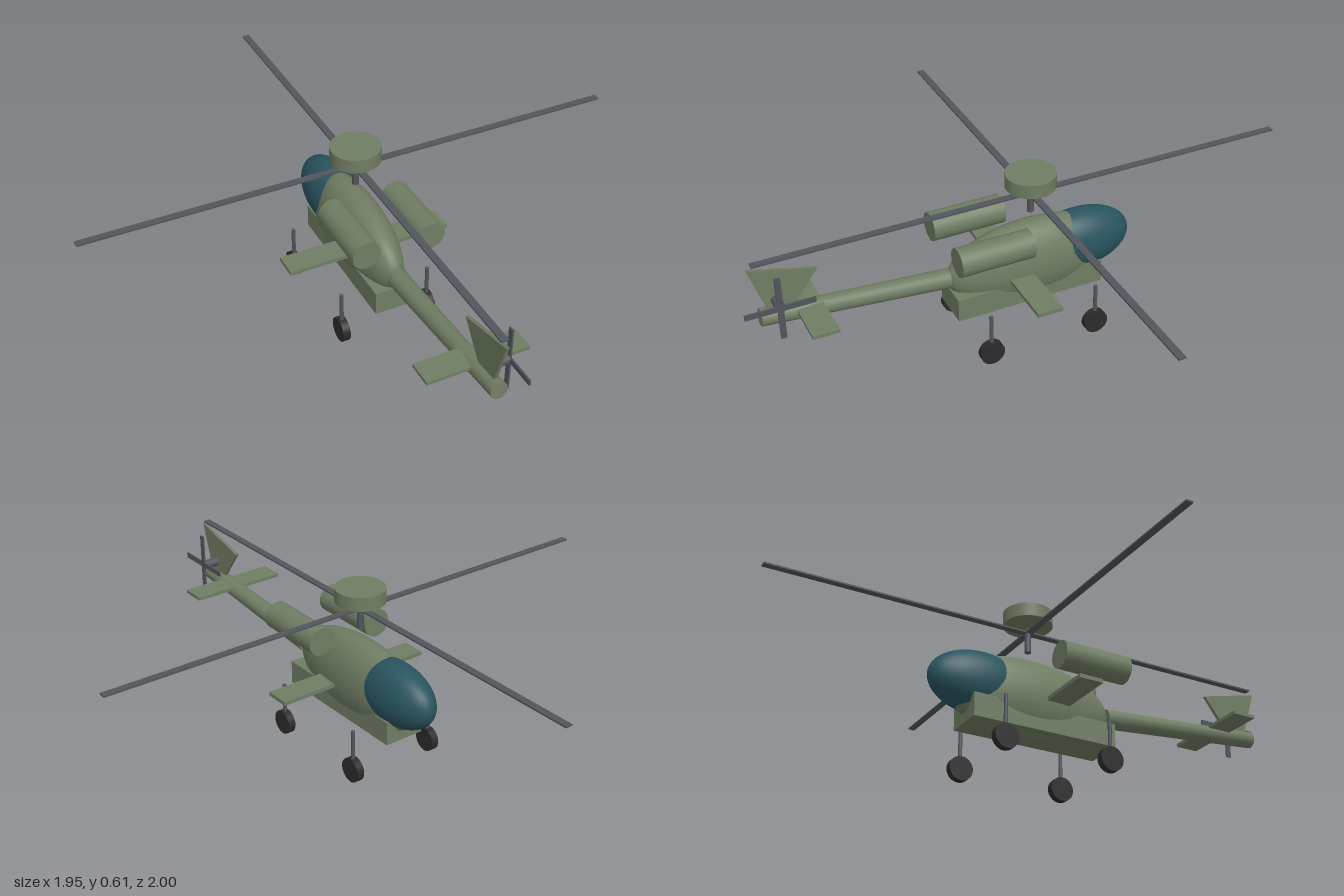
import * as THREE from 'three';

export function createModel() {
  const model = new THREE.Group();
  model.name = 'helicopter';
  const paint = (name, color) => {
    const m = new THREE.MeshStandardMaterial({ color });
    m.name = name;
    return m;
  };
  const green = paint('olive green', 0x6f7d63);
  const grey = paint('rotor grey', 0x51565c);
  const glass = paint('canopy teal', 0x28545f);
  const rubber = paint('tyre black', 0x2b2b2b);

  const add = (name, geometry, material, x, y, z) => {
    const mesh = new THREE.Mesh(geometry, material);
    mesh.name = name;
    mesh.position.set(x, y, z);
    model.add(mesh);
    return mesh;
  };
  const box = (w, h, d) => new THREE.BoxGeometry(w, h, d);
  const rod = (r, h, sides = 32) => new THREE.CylinderGeometry(r, r, h, sides);
  const ellipsoid = (rx, ry, rz) => new THREE.SphereGeometry(1, 40, 28).scale(rx, ry, rz);

  // Fuselage: the nose points towards -z
  add('fuselage', ellipsoid(0.093, 0.152, 0.32), green, 0, 0.272, -0.03);
  add('canopy', ellipsoid(0.088, 0.115, 0.19), glass, 0, 0.295, -0.217);
  add('bellyBox', box(0.15, 0.086, 0.55), green, 0, 0.182, 0.005);
  add('wing', box(0.6, 0.014, 0.09), green, 0, 0.254, 0.045);

  // Tail boom, tapering and rising towards the back
  const boomStart = new THREE.Vector3(0, 0.275, 0.285);
  const boomEnd = new THREE.Vector3(0, 0.33, 0.937);
  const boomAxis = boomEnd.clone().sub(boomStart);
  const boom = add('tailBoom', new THREE.CylinderGeometry(0.03, 0.035, boomAxis.length(), 32), green, 0, 0, 0);
  boom.position.copy(boomStart).lerp(boomEnd, 0.5);
  boom.quaternion.setFromUnitVectors(new THREE.Vector3(0, 1, 0), boomAxis.normalize());

  // Tail surfaces
  add('stabilizer', box(0.36, 0.012, 0.09), green, 0, 0.332, 0.775);
  const finShape = new THREE.Shape([
    [0.963, 0.522], [0.735, 0.465], [0.825, 0.345], [0.908, 0.345],
  ].map(([z, y]) => new THREE.Vector2(-z, y)));
  const finGeometry = new THREE.ExtrudeGeometry(finShape, { depth: 0.012, bevelEnabled: false });
  finGeometry.translate(0, 0, -0.006).rotateY(Math.PI / 2);
  add('tailFin', finGeometry, green, 0, 0, 0);

  // Tail rotor on the left side
  add('tailRotorHub', rod(0.017, 0.06).rotateZ(Math.PI / 2), grey, 0.031, 0.388, 0.88);
  add('tailRotorBladeUpright', box(0.006, 0.235, 0.02), grey, 0.062, 0.39, 0.882);
  add('tailRotorBladeLevel', box(0.006, 0.02, 0.235), grey, 0.062, 0.39, 0.882);

  // Main rotor
  const rotorZ = -0.027;
  add('rotorMast', rod(0.012, 0.09), grey, 0, 0.505, rotorZ);
  add('rotorBladeAcross', box(1.945, 0.006, 0.025), grey, 0, 0.535, rotorZ);
  add('rotorBladeAlong', box(0.025, 0.006, 1.945), grey, 0, 0.535, rotorZ);
  add('radarDome', rod(0.088, 0.05, 40), green, 0, 0.588, rotorZ);

  // Engines, struts and wheels, mirrored
  for (const side of [1, -1]) {
    const label = side > 0 ? 'left' : 'right';
    add(label + 'Engine', rod(0.051, 0.265).rotateX(Math.PI / 2), green, side * 0.118, 0.418, 0.165);
    for (const [place, z] of [['Nose', -0.2], ['Tail', 0.2]]) {
      add(label + place + 'Strut', rod(0.007, 0.15, 16), grey, side * 0.164, 0.12, z);
      add(label + place + 'Wheel', rod(0.044, 0.027).rotateZ(Math.PI / 2), rubber, side * 0.164, 0.044, z);
    }
  }
  return model;
}
